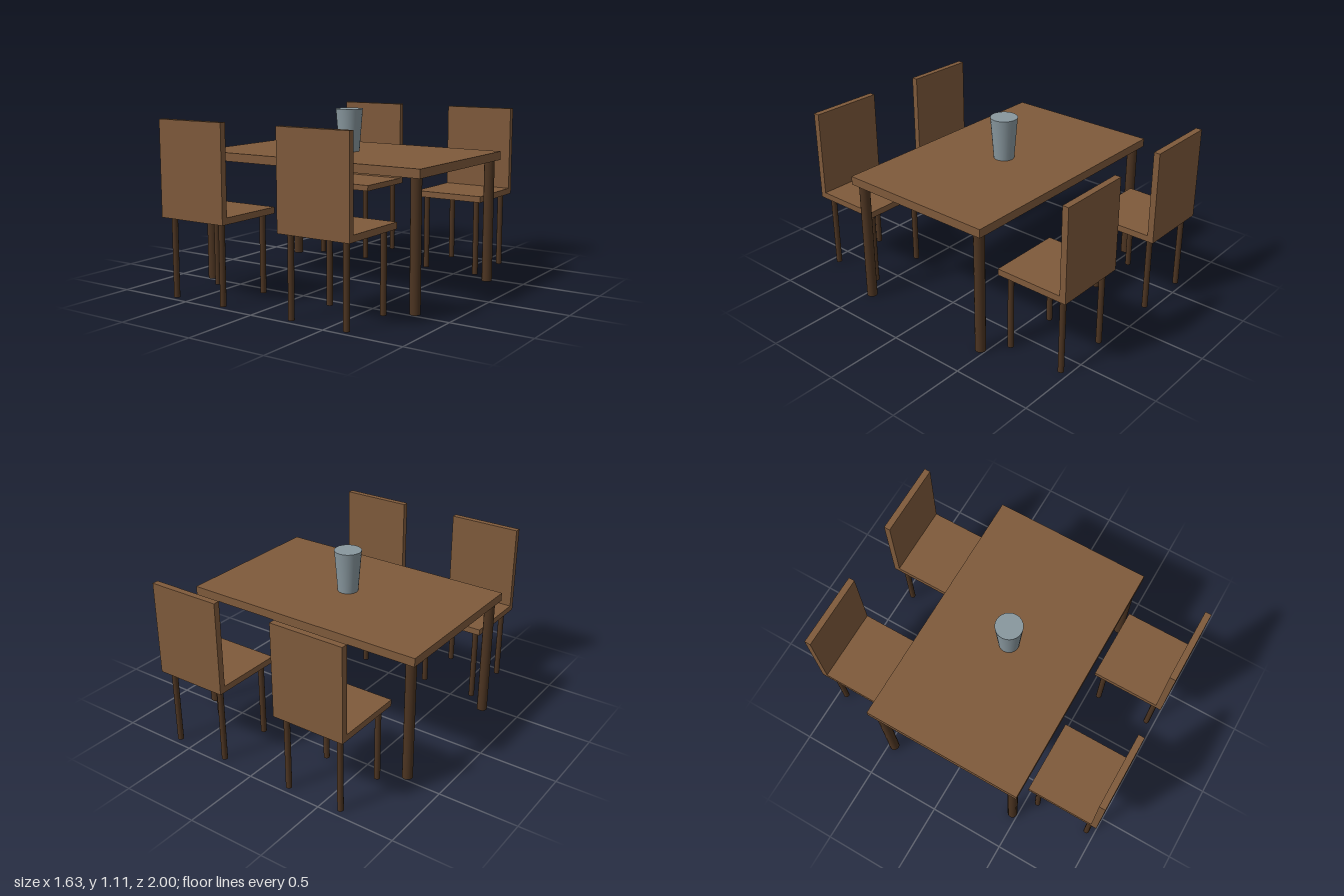
import * as THREE from 'three';

const material = (name, color) => {
  const m = new THREE.MeshStandardMaterial({ color });
  m.name = name;
  return m;
};

export function createModel() {
  const wood = material('wood', 0x7f5a3b);
  const darkWood = material('dark wood', 0x4c3421);
  const glass = material('grey glass', 0x88979e);

  const add = (parent, name, geometry, mat, x, y, z) => {
    const mesh = new THREE.Mesh(geometry, mat);
    mesh.name = name;
    mesh.position.set(x, y, z);
    parent.add(mesh);
  };

  // Four round legs standing on the floor, mirrored about the parent's centre
  const addLegs = (parent, name, radius, height, dx, dz) => {
    const geometry = new THREE.CylinderGeometry(radius, radius, height, 16);
    for (const sx of [-1, 1]) {
      for (const sz of [-1, 1]) {
        add(parent, name, geometry, darkWood, sx * dx, height / 2, sz * dz);
      }
    }
  };

  const model = new THREE.Group();
  model.name = 'diningSet';

  // Table
  const table = new THREE.Group();
  table.name = 'table';
  add(table, 'tableTop', new THREE.BoxGeometry(1.626, 0.054, 1.032), wood, 0, 0.813, 0);
  addLegs(table, 'tableLeg', 0.0325, 0.786, 0.761, 0.464);
  model.add(table);

  // Tapered vase in the middle of the table
  add(model, 'vase', new THREE.CylinderGeometry(0.086, 0.065, 0.27, 24), glass, 0, 0.975, 0);

  // Chair with its back panel on the local +z side
  const seat = new THREE.BoxGeometry(0.476, 0.04, 0.476);
  const back = new THREE.BoxGeometry(0.476, 0.587, 0.04);
  const makeChair = () => {
    const chair = new THREE.Group();
    chair.name = 'chair';
    add(chair, 'seat', seat, wood, 0, 0.513, 0);
    add(chair, 'backrest', back, wood, 0, 0.7865, 0.218);
    addLegs(chair, 'chairLeg', 0.0185, 0.493, 0.185, 0.185);
    return chair;
  };

  // Two chairs along each long side, facing the table
  for (const sx of [-1, 1]) {
    for (const sz of [-1, 1]) {
      const chair = makeChair();
      chair.position.set(sx * 0.435, 0, sz * 0.762);
      chair.rotation.y = sz > 0 ? 0 : Math.PI;
      model.add(chair);
    }
  }

  return model;
}
